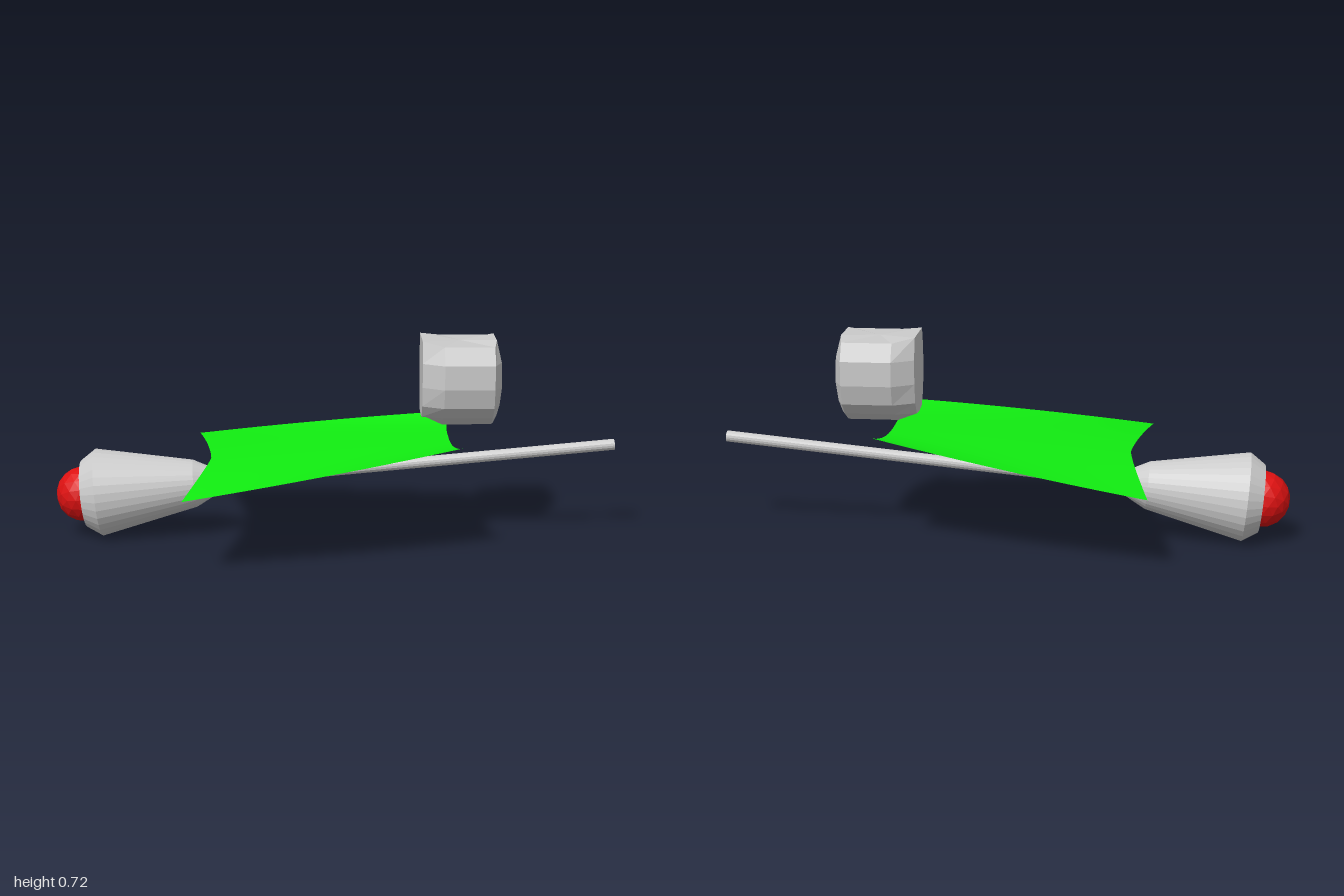
import * as THREE from 'three';

const CENTRE_Z = -0.052;

function material(color, flatShading = true) {
  return new THREE.MeshStandardMaterial({ color, flatShading, side: THREE.DoubleSide });
}

function addMesh(parent, name, geometry, mat) {
  const mesh = new THREE.Mesh(geometry, mat);
  mesh.name = name;
  parent.add(mesh);
  return mesh;
}

// Cabin: horizontal eight-sided rings stacked from roof to keel
function cabinGeometry() {
  // y, half width, nose x, y offset at the nose, lowest y of the back edge
  const rows = [
    [0.711, 0.127, 0.565, 0.015],
    [0.65, 0.159, 0.582, 0],
    [0.565, 0.159, 0.585, 0],
    [0.495, 0.138, 0.578, 0],
    [0.45, 0.085, 0.57, 0],
    [0.41, 0.004, 0.562, 0.005],
  ];
  const positions = [];
  const index = [];
  rows.forEach(([y, w, nose, lift], i) => {
    const backY = i === 0 ? 0.725 : Math.max(y, 0.45 - i * 0.001);
    const ring = [
      [0.305, backY, -0.7], [0.305, backY, 0.7],
      [0.38, y, 1], [0.555, y, 1],
      [nose, y + lift, 0.55], [nose, y + lift, -0.55],
      [0.555, y, -1], [0.38, y, -1],
    ];
    for (const [x, py, k] of ring) positions.push(x, py, CENTRE_Z + k * w);
  });
  const roof = positions.length / 3;
  positions.push(0.44, 0.715, CENTRE_Z, 0.46, 0.41, CENTRE_Z);
  const last = (rows.length - 1) * 8;
  for (let j = 0; j < 8; j++) {
    const n = (j + 1) % 8;
    for (let i = 0; i < rows.length - 1; i++) {
      const a = i * 8 + j, b = i * 8 + n;
      index.push(a, a + 8, b, b, a + 8, b + 8);
    }
    index.push(roof, j, n, roof + 1, last + n, last + j);
  }
  const g = new THREE.BufferGeometry();
  g.setAttribute('position', new THREE.Float32BufferAttribute(positions, 3));
  g.setIndex(index);
  g.computeVertexNormals();
  return g;
}

// Sail: a twisted sheet, drooping at the rear corners and lifted at the front ones
function sailGeometry() {
  const g = new THREE.PlaneGeometry(1, 1, 24, 32);
  const p = g.attributes.position;
  for (let i = 0; i < p.count; i++) {
    const u = p.getX(i) + 0.5;
    const t = -p.getY(i) * 2;
    const a = Math.abs(t);
    const rearX = -0.44 - 0.07 * a ** 1.3;
    const frontX = 0.4 + 0.034 * a ** 3;
    const rearY = 0.3 - 0.025 * a ** 1.8;
    const frontY = 0.379 + 0.026 * a ** 4;
    const half = THREE.MathUtils.lerp(0.5, 0.295, u) + 0.1 * u * (1 - u);
    p.setXYZ(i,
      THREE.MathUtils.lerp(rearX, frontX, u),
      THREE.MathUtils.lerp(rearY, frontY, u),
      t * half);
  }
  g.computeVertexNormals();
  return g;
}

export function createModel() {
  const model = new THREE.Group();
  const grey = material(0xcccccc);

  // Hull axis: local y runs from the engine to the tip of the boom
  const hull = new THREE.Group();
  hull.name = 'hull';
  hull.position.set(-0.9, 0.157, CENTRE_Z);
  hull.rotation.z = Math.atan(0.0935) - Math.PI / 2;
  model.add(hull);

  // Open-backed engine cone tapering to the boom
  const profile = [[0.12, 0], [0.157, 0.055], [0.085, 0.4], [0.02, 0.525]]
    .map(([r, s]) => new THREE.Vector2(r, s));
  addMesh(hull, 'engineCone', new THREE.LatheGeometry(profile, 32), grey);

  const boom = new THREE.CylinderGeometry(0.02, 0.02, 1.388, 16);
  boom.translate(0, 0.52 + 0.694, 0);
  addMesh(hull, 'boom', boom, grey);

  // Glowing ball in the engine mouth
  addMesh(hull, 'engineBall', new THREE.IcosahedronGeometry(0.1, 2), material(0xdd1111));

  addMesh(model, 'sail', sailGeometry(), material(0x11ee11, false));
  addMesh(model, 'cabin', cabinGeometry(), grey);
  return model;
}
